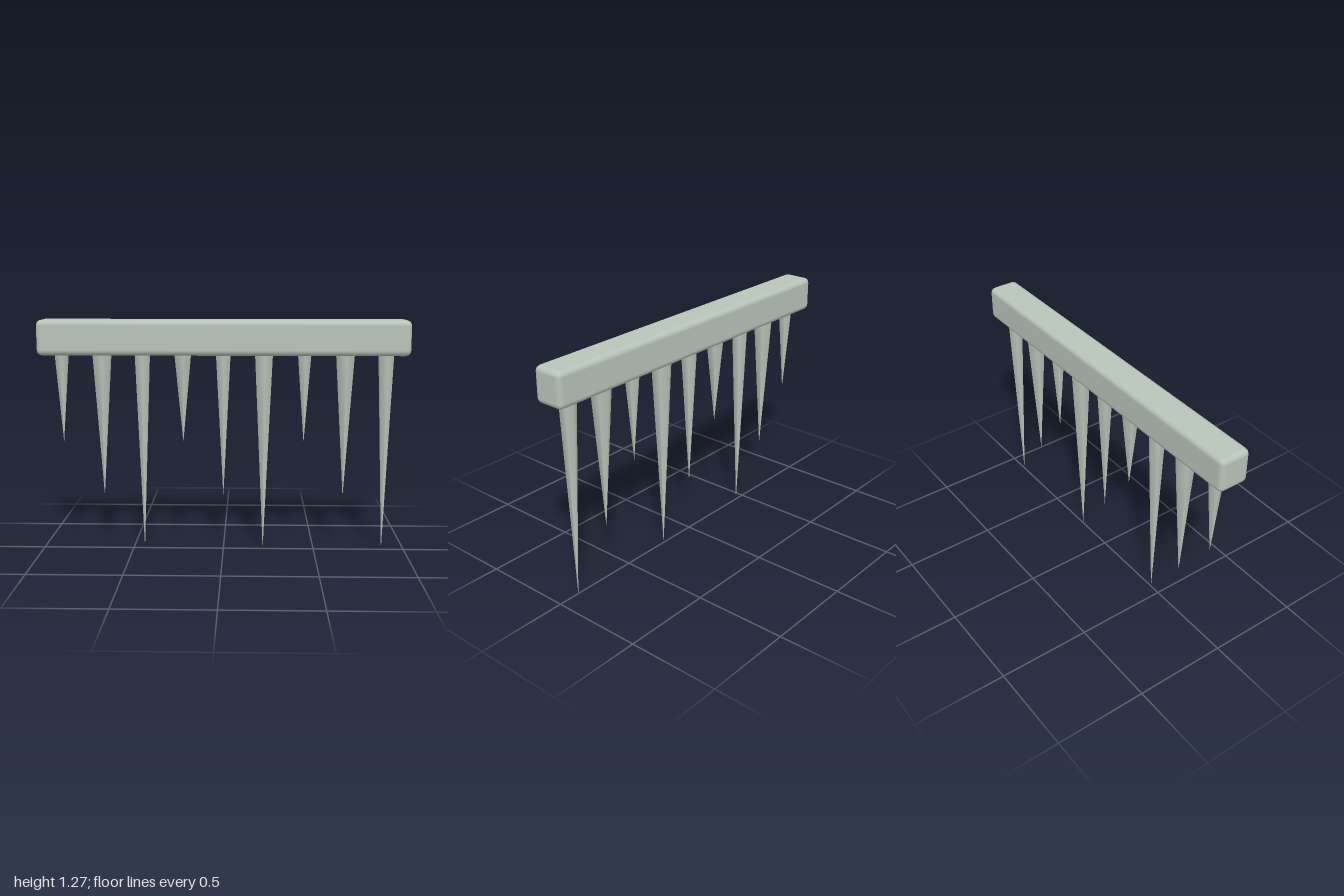
import * as THREE from 'three';
import { RoundedBoxGeometry } from 'three/addons/geometries/RoundedBoxGeometry.js';

export function createModel() {
  const model = new THREE.Group();
  model.name = 'icicleRow';

  const ice = new THREE.MeshStandardMaterial({ color: 0xb8c4ba });
  ice.name = 'paleGreyGreen';

  // Rounded bar along the top
  const bar = new THREE.Mesh(new RoundedBoxGeometry(2, 0.19, 0.17, 2, 0.03), ice);
  bar.name = 'bar';
  bar.position.y = 1.175;
  model.add(bar);

  // Six-sided spikes hanging from the bar, in a repeating short, medium, long rhythm
  const barBottom = 1.08;
  const base = 1.1; // sunk slightly into the bar
  const tips = [0.6, 0.3, 0];
  const radii = [0.04, 0.055, 0.045, 0.05, 0.045, 0.055, 0.04, 0.055, 0.045];
  radii.forEach((radius, i) => {
    const tip = tips[i % 3];
    const height = base - tip;
    const baseRadius = radius * height / (barBottom - tip);
    const geometry = new THREE.ConeGeometry(baseRadius, height, 6);
    geometry.rotateX(Math.PI);
    const spike = new THREE.Mesh(geometry, ice);
    spike.name = `spike${i + 1}`;
    spike.position.set((i - 4) * 0.219, tip + height / 2, 0);
    model.add(spike);
  });

  return model;
}
